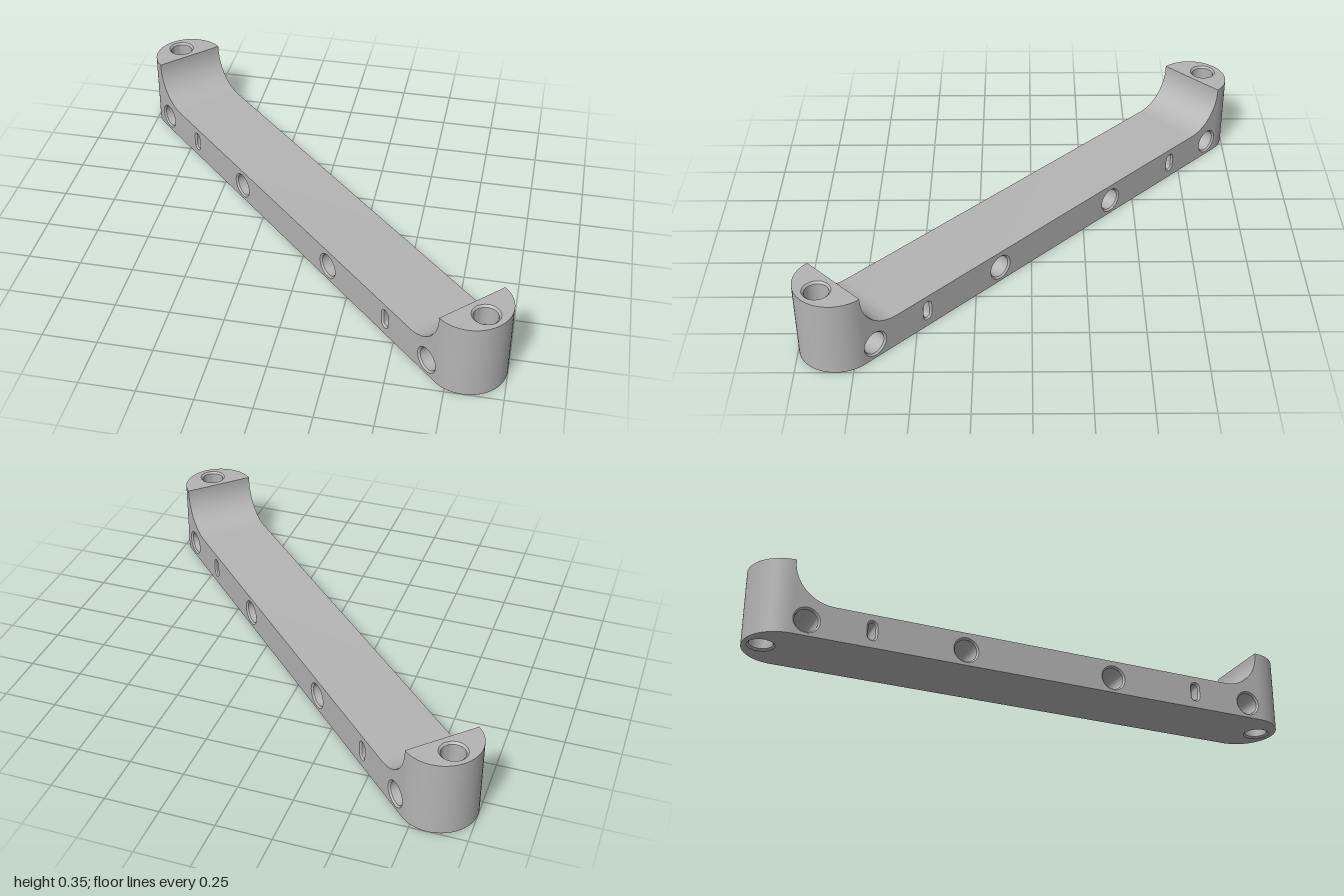
import * as THREE from 'three';
import { toCreasedNormals } from 'three/addons/utils/BufferGeometryUtils.js';

const HALF_W = 0.172;            // half width, also the radius of the round ends
const END = 1.171;               // centre of each round end along the bar
const TALL = 0.355, LOW = 0.16;  // heights of the end posts and of the bar
const FILLET = 0.185;
const CHAMFER = 0.008;
const SCREW = 1.259;             // screw positions along the bar

// Surface through a list of equally long point rows
function loft(rows) {
  const pos = [];
  for (let i = 0; i < rows.length - 1; i++) {
    for (let j = 0; j < rows[i].length - 1; j++) {
      const a = rows[i][j], b = rows[i][j + 1], c = rows[i + 1][j], d = rows[i + 1][j + 1];
      pos.push(...a, ...c, ...b, ...b, ...c, ...d);
    }
  }
  const g = new THREE.BufferGeometry();
  g.setAttribute('position', new THREE.Float32BufferAttribute(pos, 3));
  g.computeVertexNormals();
  return toCreasedNormals(g, 0.5);
}

// Closed outline of a circle, or of an upright slot when stretch > 0
function ring(cx, cy, radius, stretch = 0) {
  const pts = [];
  for (const side of [1, -1]) {
    for (let i = 0; i <= 18; i++) {
      const a = (i / 18) * Math.PI + (side < 0 ? Math.PI : 0);
      pts.push(new THREE.Vector2(cx + radius * Math.cos(a), cy + side * stretch + radius * Math.sin(a)));
    }
  }
  pts.push(pts[0].clone());
  return pts;
}

export function createModel() {
  const model = new THREE.Group();
  model.name = 'mountingBar';
  const grey = new THREE.MeshStandardMaterial({ color: 0xb4b4b4, side: THREE.DoubleSide });
  grey.name = 'grey';
  const bar = new THREE.Group();
  bar.name = 'bar';
  bar.rotation.y = -Math.PI / 4;
  model.add(bar);
  const add = (name, geometry) => {
    const mesh = new THREE.Mesh(geometry, grey);
    mesh.name = name;
    bar.add(mesh);
    return mesh;
  };

  // Upper profile: post, fillet, flat bar, fillet, post
  const right = [];
  for (let i = 0; i <= 16; i++) {
    const a = (i / 16) * Math.PI / 2;
    right.push(new THREE.Vector2(END - FILLET + FILLET * Math.sin(a), LOW + FILLET * (1 - Math.cos(a))));
  }
  right.push(new THREE.Vector2(END, TALL));
  const left = right.map(p => new THREE.Vector2(-p.x, p.y)).reverse();
  const profile = [...left, ...right];
  add('saddle', loft([-HALF_W, HALF_W].map(z => profile.map(p => [p.x, p.y, z]))));

  // Openings across the bar
  const openings = [
    ...[-1.108, -0.371, 0.371, 1.108].map(x => ({ name: 'boltHole', x, y: 0.075, r: 0.061, s: 0 })),
    ...[-0.813, 0.813].map(x => ({ name: 'slot', x, y: 0.083, r: 0.025, s: 0.024 })),
  ];

  // Side walls
  const wall = new THREE.Shape([new THREE.Vector2(-END, 0), new THREE.Vector2(END, 0), ...[...profile].reverse()]);
  for (const o of openings) wall.holes.push(new THREE.Path(ring(o.x, o.y, o.r, o.s).slice(0, -1)));
  const front = new THREE.ShapeGeometry(wall);
  add('sideWall', front).position.z = HALF_W;
  const back = add('sideWall', front);
  back.rotation.y = Math.PI;
  back.position.z = -HALF_W;

  // Chamfered tunnels
  const steps = [[HALF_W, 0], [HALF_W - CHAMFER, CHAMFER], [CHAMFER - HALF_W, CHAMFER], [-HALF_W, 0]];
  for (const o of openings) {
    add(o.name, loft(steps.map(([z, inset]) =>
      ring(o.x, o.y, o.r - inset, o.s).map(p => [p.x, p.y, z]))));
  }

  // Underside with both screw recesses
  const base = new THREE.Shape();
  base.absarc(END, 0, HALF_W, -Math.PI / 2, Math.PI / 2);
  base.absarc(-END, 0, HALF_W, Math.PI / 2, Math.PI * 1.5);
  for (const s of [1, -1]) base.holes.push(new THREE.Path(ring(s * SCREW, 0, 0.062).slice(0, -1)));
  add('underside', new THREE.ShapeGeometry(base, 32)).rotation.x = Math.PI / 2;

  // Round end posts
  const cap = new THREE.Shape();
  cap.absarc(0, 0, HALF_W, -Math.PI / 2, Math.PI / 2);
  cap.holes.push(new THREE.Path(ring(SCREW - END, 0, 0.062).slice(0, -1)));
  const capGeo = new THREE.ShapeGeometry(cap, 32).rotateX(-Math.PI / 2);
  const postGeo = new THREE.CylinderGeometry(HALF_W, HALF_W, TALL, 32, 1, true, 0, Math.PI);

  // Counterbored screw hole: radius and height from top to bottom
  const bore = [[0.062, TALL], [0.053, TALL - 0.009], [0.053, TALL - 0.1], [0.02, TALL - 0.1],
    [0.02, 0.1], [0.053, 0.1], [0.053, 0.009], [0.062, 0]];
  const boreGeo = loft(bore.map(([r, y]) => ring(SCREW, 0, r).map(p => [p.x, y, p.y])));

  for (const s of [1, -1]) {
    const turn = s > 0 ? 0 : Math.PI;
    const post = add('endPost', postGeo);
    post.position.set(s * END, TALL / 2, 0);
    post.rotation.y = turn;
    const top = add('postTop', capGeo);
    top.position.set(s * END, TALL, 0);
    top.rotation.y = turn;
    add('screwHole', boreGeo).rotation.y = turn;
  }
  return model;
}
